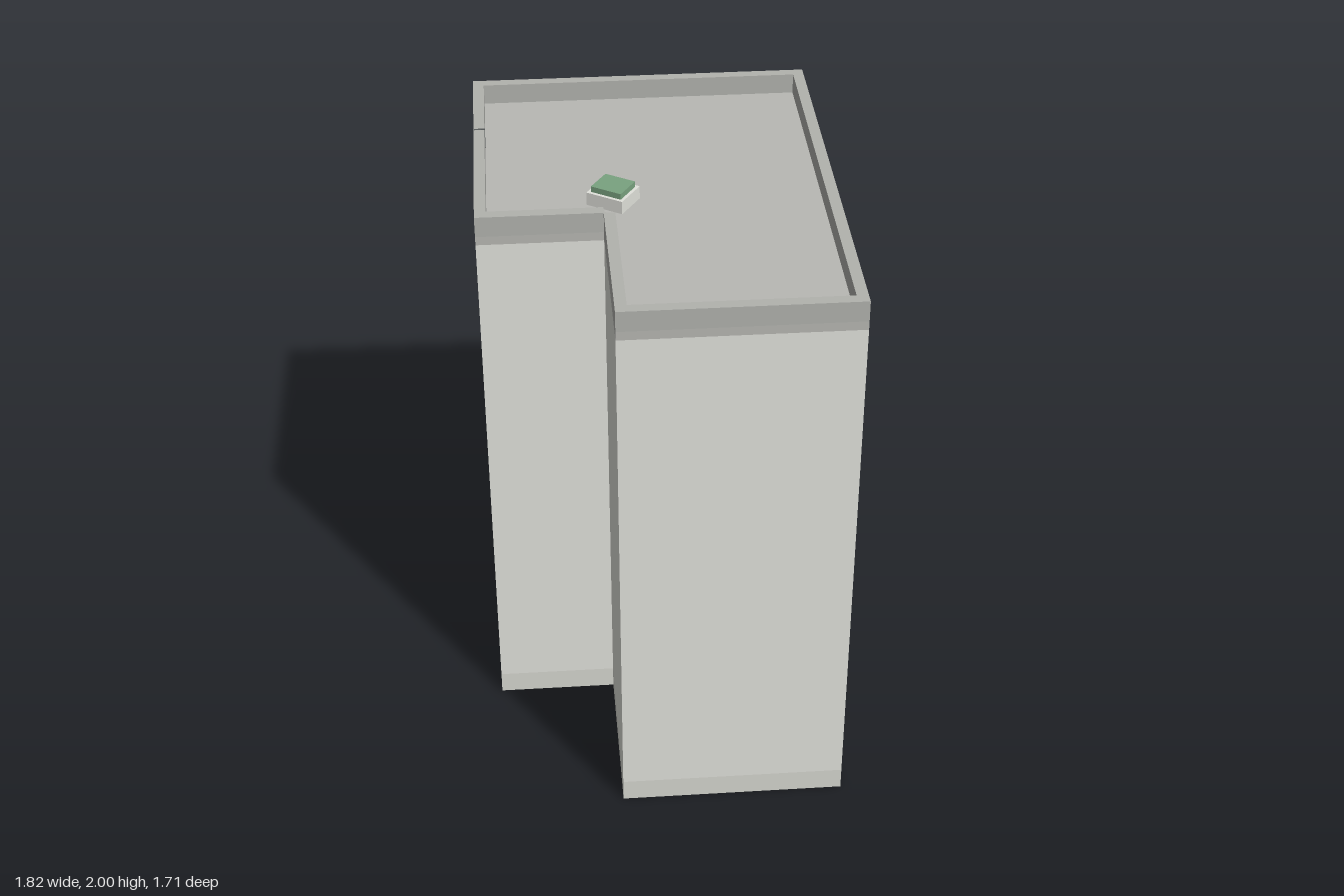
import * as THREE from 'three';

// Footprint corners as [x, z]
const PLAN = [[-0.91, -0.23], [0.07, -0.857], [0.907, 0.445], [0.267, 0.853], [-0.05, 0.36], [-0.395, 0.58]];
const WALL = 0.03, BASE = 0.038;

const paint = (color) => new THREE.MeshStandardMaterial({ color });
const wallPaint = paint(0xe2e3dc), basePaint = paint(0xd6d7d0), roofPaint = paint(0xb8b8b4);
const trim = paint(0xb2b3ae), dark = paint(0x585c5c), green = paint(0x7aa380);

const edge = (i) => {
  const [x, z] = PLAN[i], [x2, z2] = PLAN[(i + 1) % PLAN.length];
  const length = Math.hypot(x2 - x, z2 - z);
  return { x, z, length, dx: (x2 - x) / length, dz: (z2 - z) / length };
};

// Plan moved inward by d, counter-clockwise; the reentrant corner is notched, the others mitred
function inset(d) {
  const points = [];
  PLAN.forEach(([x, z], i) => {
    const a = edge((i + PLAN.length - 1) % PLAN.length), b = edge(i);
    const na = [-a.dz, a.dx], nb = [-b.dz, b.dx];
    const k = d / (1 + na[0] * nb[0] + na[1] * nb[1]);
    const add = (u, v) => points.push(new THREE.Vector2(x + u, -(z + v)));
    const reentrant = d > 0 && a.dx * b.dz - a.dz * b.dx < 0;
    const m = reentrant ? k * 0.1 : k;
    if (reentrant) add(na[0] * d, na[1] * d);
    add((na[0] + nb[0]) * m, (na[1] + nb[1]) * m);
    if (reentrant) add(nb[0] * d, nb[1] * d);
  });
  return points.reverse();
}

// Slab, or ring when a thickness is given, between two heights
function prism(name, y0, y1, material, thickness = 0) {
  const shape = new THREE.Shape(inset(0));
  if (thickness) shape.holes.push(new THREE.Path(inset(thickness)));
  const geometry = new THREE.ExtrudeGeometry(shape, { depth: y1 - y0, bevelEnabled: false });
  geometry.rotateX(-Math.PI / 2);
  const mesh = new THREE.Mesh(geometry, material);
  mesh.position.y = y0;
  mesh.name = name;
  return mesh;
}

function box(name, w, h, d, x, y, z, material) {
  const mesh = new THREE.Mesh(new THREE.BoxGeometry(w, h, d), material);
  mesh.position.set(x, y, z);
  mesh.name = name;
  return mesh;
}

// Window with frame and pane; stands on y = 0
function makeWindow(sill, balcony) {
  const g = new THREE.Group();
  g.name = balcony ? 'balconyWindow' : 'window';
  g.add(box('windowFrame', 0.14, 0.2, 0.016, 0, 0.1, 0.004, trim));
  g.add(box('windowPane', 0.115, 0.175, 0.02, 0, 0.1, 0.006, dark));
  if (balcony) {
    g.add(box('balconyFloor', 0.17, 0.015, 0.06, 0, -0.005, 0.03, trim));
    g.add(box('balconyFront', 0.17, 0.065, 0.008, 0, 0.035, 0.056, trim));
    for (const s of [-1, 1]) g.add(box('balconySide', 0.008, 0.065, 0.06, s * 0.081, 0.035, 0.03, trim));
  } else if (sill) {
    g.add(box('windowSill', 0.17, 0.014, 0.03, 0, -0.005, 0.015, trim));
  }
  return g;
}

// Details of one wall: local x runs along it, local z points into the shell
function makeFacade(i) {
  const e = edge(i), g = new THREE.Group();
  g.name = 'facade';
  g.position.set(e.x, 0, e.z);
  g.rotation.y = Math.atan2(-e.dz, e.dx);
  for (let x = 0.14, column = 0; x < e.length - 0.1; x += 0.31, column++) {
    [0.1, 0.36, 0.68, 1.0, 1.32, 1.64].forEach((y, floor) => {
      const w = makeWindow(floor > 0, floor > 0 && column % 3 === 1);
      w.position.set(x, y, WALL);
      g.add(w);
    });
    // Row of small vents in the base band
    for (let v = -3; v <= 3; v++) {
      g.add(box('vent', 0.012, 0.008, 0.004, x + v * 0.021, 0.05, BASE, dark));
    }
  }
  // Joint in the long side wall
  if (i === 5) {
    g.add(box('parapetJoint', 0.008, 0.07, 0.037, 0.595, 1.966, 0.02, dark));
    g.add(box('baseJoint', 0.008, 0.08, 0.006, 0.595, 0.04, BASE, dark));
  }
  return g;
}

export function createModel() {
  const model = new THREE.Group();
  model.name = 'building';

  // Shell, open at the bottom
  model.add(prism('baseBand', 0, 0.08, basePaint, BASE));
  model.add(prism('walls', 0.08, 1.9, wallPaint, WALL));
  model.add(prism('roof', 1.9, 1.93, roofPaint));
  model.add(prism('parapet', 1.93, 2, trim, 0.037));
  PLAN.forEach((_, i) => model.add(makeFacade(i)));

  // Skylight
  const skylight = new THREE.Group();
  skylight.name = 'skylight';
  skylight.position.set(-0.12, 1.93, 0.175);
  skylight.add(box('skylightCurb', 0.132, 0.045, 0.118, 0, 0.0225, 0, wallPaint));
  skylight.add(box('skylightGlass', 0.11, 0.02, 0.096, 0, 0.055, 0, green));
  model.add(skylight);
  return model;
}
